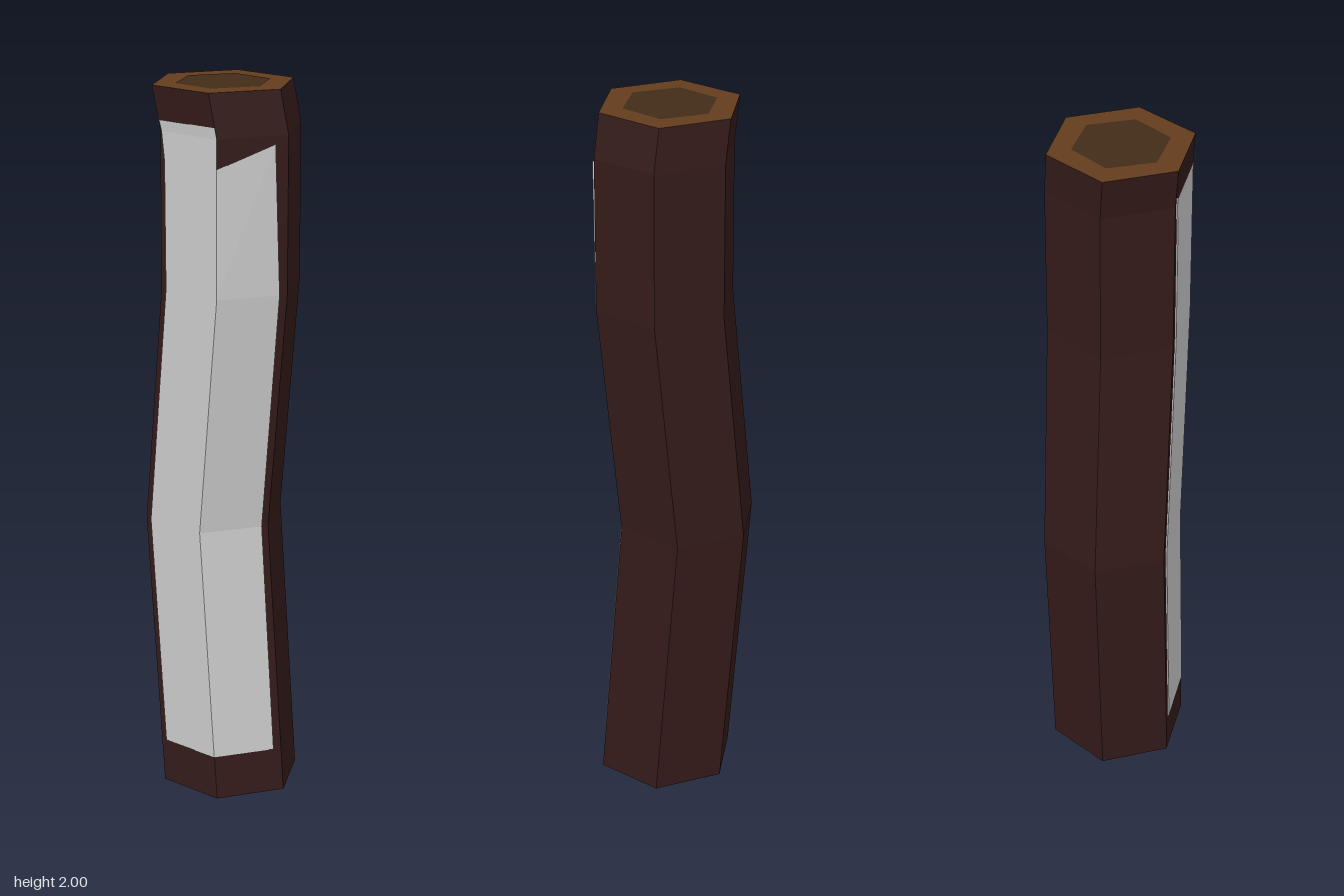
import * as THREE from 'three';

const R = 0.199;
// Log centre line: [x, y, z]
const SPINE = [
  [0.026, 0, 0.017], [-0.029, 0.78, -0.018], [0.026, 1.45, 0.016],
  [0.026, 1.88, 0.016], [0.004, 2, 0.016],
];

function centreAt(y) {
  let i = 0;
  while (i < SPINE.length - 2 && y > SPINE[i + 1][1]) i++;
  const [a, b] = [SPINE[i], SPINE[i + 1]];
  const t = (y - a[1]) / (b[1] - a[1]);
  return [a[0] + (b[0] - a[0]) * t, a[2] + (b[2] - a[2]) * t];
}

// Surface through rows of points, each row the same length
function loft(rows, material) {
  const n = rows[0].length, index = [];
  for (let r = 0; r < rows.length - 1; r++) {
    for (let c = 0; c < n - 1; c++) {
      const a = r * n + c, b = a + 1, d = a + n, e = d + 1;
      index.push(a, b, e, a, e, d);
    }
  }
  const geo = new THREE.BufferGeometry();
  geo.setAttribute('position', new THREE.Float32BufferAttribute(rows.flat(2), 3));
  geo.setIndex(index);
  const flat = geo.toNonIndexed();
  flat.computeVertexNormals();
  return new THREE.Mesh(flat, material);
}

export function createModel() {
  const group = new THREE.Group();
  const mat = (color, side = THREE.FrontSide) =>
    new THREE.MeshStandardMaterial({ color, flatShading: true, side });
  const barkMat = mat(0x341b19), woodMat = mat(0x643c1c), coreMat = mat(0x422c18);
  const peelMat = mat(0xcccccc, THREE.DoubleSide);
  const add = (mesh, name) => { mesh.name = name; group.add(mesh); return mesh; };

  // Six-sided bent trunk
  add(loft(SPINE.map(([x, y, z]) => Array.from({ length: 7 }, (_, i) => {
    const a = (i * Math.PI) / 3;
    return [x + R * Math.sin(a), y, z + R * Math.cos(a)];
  })), barkMat), 'bark');

  // Cut ends with a darker, slightly turned core
  for (const [end, dir, name] of [[SPINE[4], 1, 'top'], [SPINE[0], -1, 'bottom']]) {
    const disc = (radius, turn, lift, material, part) => {
      const geo = new THREE.CircleGeometry(radius, 6, Math.PI / 2 + turn);
      geo.rotateX(-dir * Math.PI / 2);
      const mesh = add(new THREE.Mesh(geo, material), name + part);
      mesh.position.set(end[0], end[1] + dir * lift, end[2]);
    };
    disc(R, 0, 0, woodMat, 'CutWood');
    disc(0.131, -0.05, 0.001, coreMat, 'CutCore');
  }

  // Point on a front face: f = 0 at the ridge, 1 at the side corner
  const onFace = (s, y, f, out) => {
    const [cx, cz] = centreAt(y);
    const nx = f > 0 ? s * 0.5 : 0;
    return [cx + s * f * R * 0.866 + nx * out, y, cz + R * (1 - f / 2) + 0.866 * out];
  };

  // Stripped strips over the two front faces
  // Row: [ridge height, edge height, edge fraction, edge lift]
  const strips = {
    rightStrip: [-1, [[0.125, 0.125, 0.9, 0.004], [0.78, 0.78, 0.9, 0.004],
      [1.45, 1.45, 0.9, 0.004], [1.8, 1.8, 0.91, 0.004], [1.88, 1.88, 0.96, 0.004],
      [1.91, 1.91, 0.97, 0.004]]],
    leftStrip: [1, [[0.125, 0.125, 0.88, 0.004], [0.78, 0.78, 0.9, 0.004],
      [1.45, 1.45, 0.88, 0.005], [1.8, 1.86, 0.8, 0.011]]],
  };
  for (const [name, [s, rows]] of Object.entries(strips)) {
    add(loft(rows.map(([yr, ye, f, out]) => {
      const row = [onFace(s, yr, 0, 0.003), onFace(s, ye, f, out), onFace(s, ye, f, -0.002)];
      return s > 0 ? row : row.reverse();
    }), peelMat), name);
  }
  return group;
}
